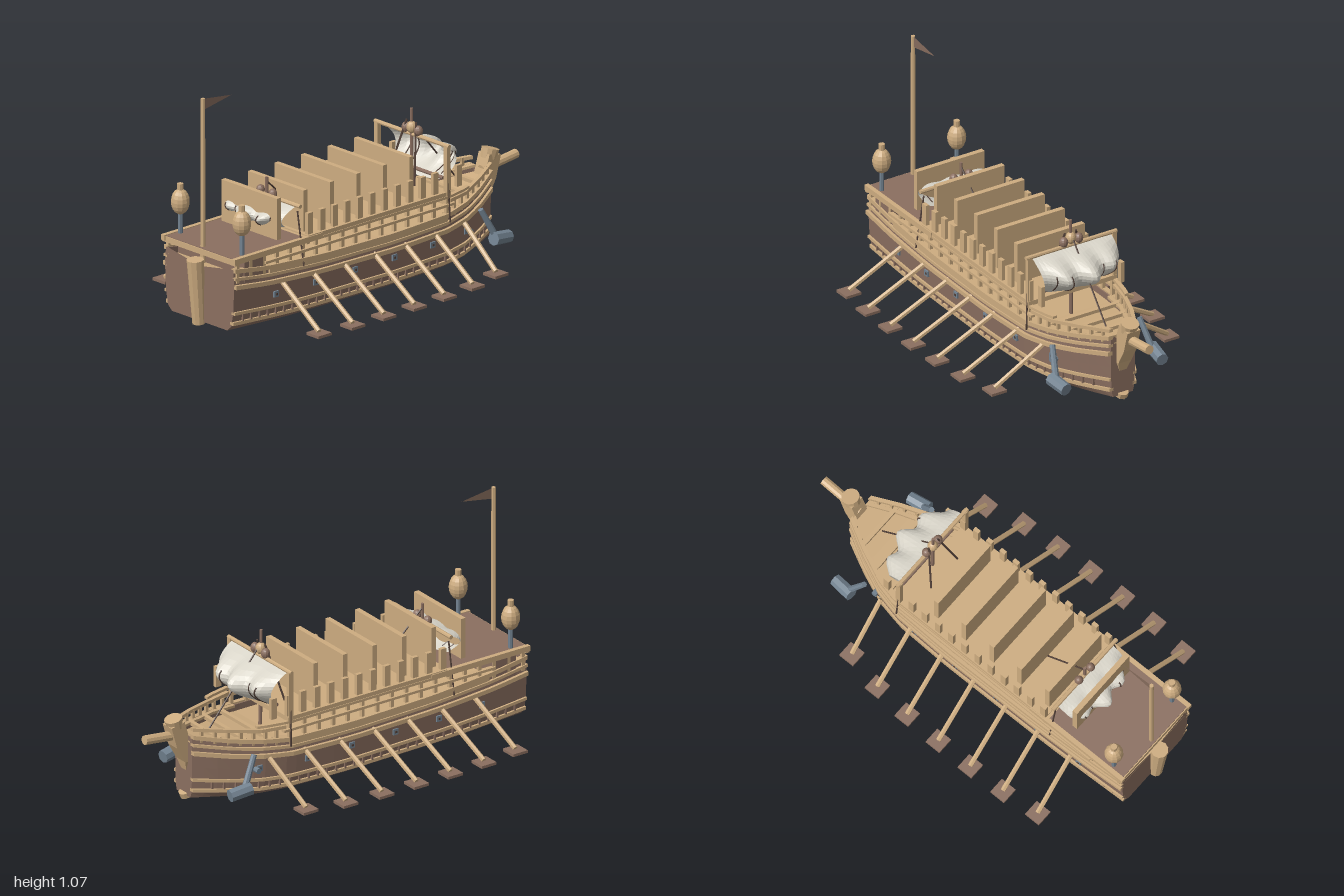
import * as THREE from 'three';

const mat = (name, color, side = THREE.FrontSide) => {
  const m = new THREE.MeshStandardMaterial({ color, side, flatShading: true });
  m.name = name;
  return m;
};
const V = (x, y, z) => new THREE.Vector3(x, y, z);

// piecewise-linear lookup through [position, value] pairs
const curve = (pts) => (x) => {
  if (x <= pts[0][0]) return pts[0][1];
  for (let i = 1; i < pts.length; i++) {
    const [a, p] = pts[i - 1], [b, q] = pts[i];
    if (x <= b) return p + (q - p) * (x - a) / (b - a);
  }
  return pts[pts.length - 1][1];
};

// hull lines: half width, sheer, bottom, and flare up the side
const halfWidth = curve([[-0.95, 0.225], [-0.5, 0.235], [0.1, 0.238], [0.36, 0.23], [0.5, 0.2], [0.65, 0.135], [0.78, 0.065]]);
const sheer = curve([[-0.95, 0.325], [-0.75, 0.295], [-0.4, 0.272], [0, 0.265], [0.36, 0.272], [0.6, 0.3], [0.78, 0.335]]);
const bottom = curve([[-0.95, 0.03], [-0.6, 0.014], [0, 0.008], [0.5, 0.014], [0.78, 0.03]]);
const flare = curve([[0, 0.8], [0.08, 0.91], [0.3, 0.97], [0.75, 1], [1, 0.97]]);
const yAt = (x, t) => bottom(x) + (sheer(x) - bottom(x)) * t;
const zAt = (x, t) => halfWidth(x) * flare(t);
const stations = (a, b, n) => Array.from({ length: n + 1 }, (_, i) => a + (b - a) * i / n);

// skin rings of [y, z] placed along x, with closed ends
function loft(xs, ringAt) {
  const rings = xs.map((x) => ringAt(x).map(([y, z]) => [x, y, z]));
  const pos = [], n = rings[0].length;
  const tri = (a, b, c) => pos.push(...a, ...b, ...c);
  for (let i = 0; i + 1 < rings.length; i++)
    for (let j = 0; j < n; j++) {
      const k = (j + 1) % n, A = rings[i], B = rings[i + 1];
      tri(A[j], A[k], B[k]);
      tri(A[j], B[k], B[j]);
    }
  const first = rings[0], last = rings[rings.length - 1];
  for (let j = 1; j + 1 < n; j++) {
    tri(first[0], first[j + 1], first[j]);
    tri(last[0], last[j], last[j + 1]);
  }
  const g = new THREE.BufferGeometry();
  g.setAttribute('position', new THREE.Float32BufferAttribute(pos, 3));
  g.computeVertexNormals();
  return g;
}

export function createModel() {
  const root = new THREE.Group();
  root.name = 'galley';
  const tan = mat('tan wood', 0xcdac80), brown = mat('brown wood', 0x8b6f60);
  const iron = mat('grey iron', 0x738391), dark = mat('dark rope', 0x54423a);
  const cloth = mat('sail cloth', 0xdad6ca, THREE.DoubleSide), flagMat = mat('flag cloth', 0x856b5c, THREE.DoubleSide);

  const add = (name, geo, m) => {
    const o = new THREE.Mesh(geo, m);
    o.name = name;
    root.add(o);
    return o;
  };
  const box = (name, m, w, h, d, x, y, z) => {
    const o = add(name, new THREE.BoxGeometry(w, h, d), m);
    o.position.set(x, y, z);
    return o;
  };
  const bar = (name, m, a, b, r, r2 = r, sides = 8) => {
    const o = add(name, new THREE.CylinderGeometry(r2, r, a.distanceTo(b), sides), m);
    o.position.copy(a).lerp(b, 0.5);
    o.quaternion.setFromUnitVectors(V(0, 1, 0), b.clone().sub(a).normalize());
    return o;
  };
  const ball = (name, m, r, sy, x, y, z) => {
    const o = add(name, new THREE.SphereGeometry(r, 12, 10), m);
    o.scale.y = sy;
    o.position.set(x, y, z);
  };
  // rectangular strip following the hull side
  const strip = (name, m, s, a, b, yFn, zFn, h, d, inset = 0.01) => add(name, loft(stations(a, b, 24), (x) => {
    const y = yFn(x), z = zFn(x);
    const ring = [[y + h / 2, s * (z - inset)], [y + h / 2, s * (z + d)], [y - h / 2, s * (z + d)], [y - h / 2, s * (z - inset)]];
    return s > 0 ? ring : ring.reverse();
  }), m);
  // flat plate across the hull
  const plate = (name, m, a, b, yFn, zFn, h) => add(name, loft(stations(a, b, 20), (x) => {
    const y = yFn(x), z = zFn(x);
    return [[y, -z], [y, z], [y - h, z], [y - h, -z]];
  }), m);

  // hull with bulwarks around a sunken well
  const hullXs = stations(-0.94, 0.78, 34);
  add('hull', loft(hullXs, (x) => {
    const deck = sheer(x) - 0.035, zi = zAt(x, 1) - 0.016;
    const half = [[deck, zi], [sheer(x), zi]];
    for (const t of [1, 0.75, 0.5, 0.3, 0.08, 0]) half.push([yAt(x, t), zAt(x, t)]);
    return [[deck, 0], ...half, [bottom(x), 0], ...half.map(([y, z]) => [y, -z]).reverse()];
  }), brown);
  plate('deck', tan, -0.94, 0.78, (x) => sheer(x) - 0.03, (x) => zAt(x, 1) - 0.014, 0.008);
  plate('keel', brown, -0.93, 0.77, (x) => bottom(x) + 0.002, () => 0.025, 0.01);
  plate('bowSole', tan, 0.55, 0.775, (x) => bottom(x) + 0.002, (x) => zAt(x, 0) * 0.75, 0.006);
  for (const x of [0.45, 0.56, 0.67]) box('bowBeam', tan, 0.02, 0.016, 2 * zAt(x, 1), x, sheer(x), 0);

  // stem, bowsprit, sternpost
  const stem = new THREE.Shape([[0.74, 0.2], [0.77, 0.12], [0.795, 0.2], [0.84, 0.28], [0.87, 0.385], [0.8, 0.4], [0.775, 0.32]].map((p) => new THREE.Vector2(...p)));
  const stemGeo = new THREE.ExtrudeGeometry(stem, { depth: 0.07, bevelEnabled: false }).translate(0, 0, -0.035);
  const sp = stemGeo.attributes.position;
  for (let i = 0; i < sp.count; i++) sp.setZ(i, sp.getZ(i) * THREE.MathUtils.clamp((sp.getY(i) - 0.1) / 0.09, 0.2, 1));
  add('stem', stemGeo, tan);
  bar('stemHead', tan, V(0.825, 0.37, 0), V(0.838, 0.415, 0), 0.037, 0.042, 12);
  bar('stemFoot', tan, V(0.765, 0.02, 0), V(0.775, 0.045, 0), 0.03);
  bar('bowsprit', tan, V(0.78, 0.325, 0), V(0.995, 0.35, 0), 0.022, 0.022, 10);
  bar('sternpost', tan, V(-0.945, 0.02, 0), V(-0.967, 0.325, 0), 0.03, 0.04, 10);

  // stern deck
  box('sternDeck', brown, 0.45, 0.016, 0.45, -0.715, 0.368, 0);
  box('sternCabin', brown, 0.13, 0.1, 0.455, -0.815, 0.3, 0);
  box('sternBeam', tan, 0.02, 0.026, 0.48, -0.935, 0.36, 0);
  box('sternDeckFrontBeam', tan, 0.02, 0.03, 0.48, -0.5, 0.362, 0);

  // roof over the rowers, with cross walls
  box('roof', tan, 0.87, 0.022, 0.47, -0.06, 0.372, 0);
  for (let i = 0; i < 6; i++) box('crossWall', tan, 0.025, 0.195, 0.36, -0.625 + i * 0.162, 0.48, 0);

  for (const s of [-1, 1]) {
    // wales and rails
    for (const [t, h, d] of [[0.13, 0.016, 0.012], [0.3, 0.014, 0.01], [0.73, 0.02, 0.014], [0.86, 0.014, 0.012], [0.99, 0.02, 0.014]])
      strip('wale', tan, s, -0.94, 0.78, (x) => yAt(x, t), (x) => zAt(x, t), h, d);
    strip('sidePlank', tan, s, -0.73, 0.36, (x) => yAt(x, 0.93), (x) => zAt(x, 0.93), 0.04, 0.008);
    strip('bowCap', tan, s, 0.36, 0.78, (x) => sheer(x), (x) => zAt(x, 1), 0.012, 0.012, 0.03);
    strip('topRail', tan, s, -0.76, 0.4, () => 0.32, () => 0.228, 0.012, 0.012);
    strip('bowRail', tan, s, 0.38, 0.78, (x) => 0.335 + Math.max(0, x - 0.5) * 0.12, (x) => zAt(x, 1), 0.016, 0.01);
    strip('sternRail', tan, s, -0.95, -0.41, () => 0.366, () => 0.228, 0.026, 0.012);
    strip('roofEdge', tan, s, -0.5, 0.52, () => 0.358, (x) => Math.min(0.228, halfWidth(x)), 0.012, 0.01);
    // ribs on the lower planking
    for (const x of stations(-0.88, 0.7, 32))
      box('rib', brown, 0.008, 0.036, 0.012, x, yAt(x, 0.215), s * (zAt(x, 0.215) + 0.001));
    // roof and rail posts
    for (const x of stations(-0.92, 0.36, 16)) box('roofPost', tan, 0.016, 0.1, 0.016, x, 0.31, s * 0.222);
    for (const x of stations(0.42, 0.74, 6)) box('bowPost', tan, 0.014, 0.07, 0.014, x, sheer(x) + 0.01, s * (zAt(x, 1) - 0.004));
    // shield planks along the roof edge
    for (let i = 0; i < 13; i++) {
      const x = -0.48 + i * 0.0768;
      box('shieldPlank', tan, 0.03, 0.1, 0.018, x, 0.437, s * Math.min(0.222, halfWidth(x)));
    }
    box('forePost', tan, 0.022, 0.25, 0.022, 0.36, 0.475, s * 0.226);

    // oars with flat blades
    const reach = [0.5, 0.52, 0.525, 0.525, 0.52, 0.505, 0.46];
    reach.forEach((z, i) => {
      const x = -0.68 + i * 0.1865;
      bar('oar', tan, V(x + 0.03, 0.205, s * 0.225), V(x, 0.045, s * z), 0.012, 0.012, 6);
      box('oarBlade', brown, 0.08, 0.013, 0.08, x, 0.034, s * z);
    });
    // small iron ports
    for (let i = 0; i < 6; i++) {
      const x = -0.69 + i * 0.239;
      box('portPlate', iron, 0.028, 0.028, 0.009, x, 0.155, s * (zAt(x, 0.57) + 0.003));
      box('portHole', dark, 0.01, 0.01, 0.004, x, 0.155, s * (zAt(x, 0.57) + 0.008));
    }
    // anchor
    bar('anchorShank', iron, V(0.56, 0.25, s * 0.232), V(0.63, 0.11, s * 0.258), 0.013, 0.016);
    bar('anchorHead', iron, V(0.605, 0.11, s * 0.268), V(0.71, 0.095, s * 0.256), 0.032, 0.03, 8);
    bar('anchorRing', iron, V(0.52, 0.15, s * 0.18), V(0.52, 0.15, s * 0.215), 0.014);

    // stern lantern
    bar('lanternPost', iron, V(-0.87, 0.37, s * 0.2), V(-0.87, 0.47, s * 0.2), 0.011);
    ball('lantern', tan, 0.043, 1.4, -0.87, 0.525, s * 0.2);
    bar('lanternCap', tan, V(-0.87, 0.57, s * 0.2), V(-0.87, 0.61, s * 0.2), 0.015);

    // side ropes and blocks
    bar('sideRope', dark, V(0.365, 0.24, s * 0.242), V(0.355, 0.6, s * 0.225), 0.004, 0.004, 5);
    bar('sideRope', dark, V(-0.53, 0.25, s * 0.242), V(-0.53, 0.5, s * 0.2), 0.004, 0.004, 5);
    bar('foreLeg', dark, V(0.355, 0.66, s * 0.03), V(0.29, 0.39, s * 0.09), 0.005, 0.005, 5);
    ball('mastBlock', brown, 0.021, 1.2, 0.36, 0.62, s * 0.04);
    ball('mastBlock', brown, 0.02, 1.2, -0.53, 0.54, s * 0.04);
  }

  // masts, yards and stays
  bar('foreMast', brown, V(0.36, 0.25, 0), V(0.355, 0.72, 0), 0.009, 0.007);
  bar('aftMast', brown, V(-0.53, 0.25, 0), V(-0.53, 0.61, 0), 0.009, 0.007);
  ball('mastCollar', tan, 0.024, 1.2, 0.357, 0.63, 0);
  bar('foreYard', tan, V(0.36, 0.597, -0.242), V(0.36, 0.597, 0.242), 0.01);
  bar('aftYard', tan, V(-0.53, 0.525, -0.22), V(-0.53, 0.525, 0.22), 0.01);
  bar('lowerYard', brown, V(0.39, 0.425, -0.17), V(0.39, 0.425, 0.17), 0.009);
  bar('foreStay', dark, V(0.36, 0.65, 0), V(0.65, 0.3, 0), 0.004, 0.004, 5);
  bar('aftStay', dark, V(-0.53, 0.59, 0), V(-0.22, 0.3, 0), 0.004, 0.004, 5);

  // half-furled sails, bellied and scalloped, with ropes lying on the cloth
  const sail = (name, x0, top, low, half, belly) => {
    const point = (u, v) => {
      const fold = 0.86 + 0.14 * Math.cos(u * 9.4 + v * 2);
      const x = x0 + belly * Math.sin(Math.PI * Math.pow(v, 0.85)) * (1 - 0.5 * u * u) * fold + belly * 0.2 * v;
      return V(x, top + (low - top) * v + 0.025 * v * u * u, u * half * (1 - 0.2 * v * v));
    };
    const g = new THREE.PlaneGeometry(1, 1, 24, 12), p = g.attributes.position;
    for (let i = 0; i < p.count; i++) p.setXYZ(i, ...point(p.getX(i) * 2, 0.5 - p.getY(i)));
    g.computeVertexNormals();
    add(name, g, cloth);
    for (const u of [-0.75, -0.45, 0.45, 0.75]) {
      const path = new THREE.CatmullRomCurve3(stations(0.35, 0.9, 8).map((v) => point(u, v)));
      add('sailRope', new THREE.TubeGeometry(path, 12, 0.0035, 5), dark);
    }
  };
  sail('foreSail', 0.355, 0.595, 0.395, 0.21, 0.18);
  sail('aftSail', -0.53, 0.52, 0.395, 0.19, -0.155);

  // flag
  bar('flagPole', tan, V(-0.92, 0.3, 0), V(-0.92, 1.075, 0), 0.012, 0.01);
  const pennant = new THREE.Shape([V(-0.912, 1.072, 0), V(-0.912, 1.02, 0), V(-0.745, 1.05, 0)].map((p) => new THREE.Vector2(p.x, p.y)));
  add('flag', new THREE.ShapeGeometry(pennant), flagMat);

  return root;
}
